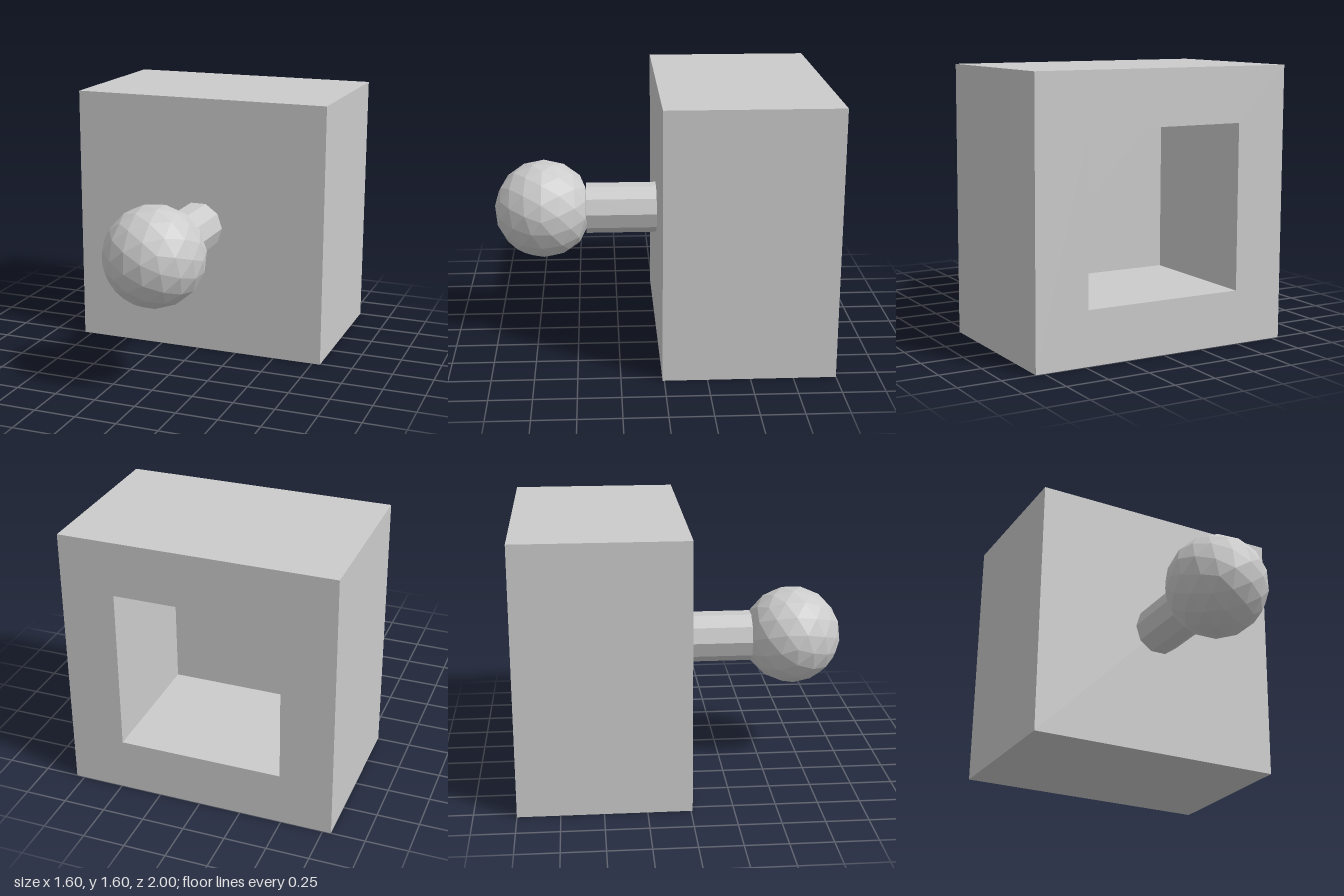
import * as THREE from 'three';

const grey = new THREE.MeshStandardMaterial({ color: 0xcccccc, flatShading: true });

const CAVITY_FLOOR = -0.19; // z of the recess end wall
const FRONT = 0.01; // z of the front face
const NECK = 0.44; // z where the ball meets the stem

function addPart(group, name, geometry, x, y, z) {
  const mesh = new THREE.Mesh(geometry, grey);
  mesh.name = name;
  mesh.position.set(x, y, z);
  group.add(mesh);
  return mesh;
}

// Axis-aligned rectangle traced onto a shape or path
function rectangle(path, x0, y0, x1, y1) {
  path.moveTo(x0, y0);
  path.lineTo(x1, y0);
  path.lineTo(x1, y1);
  path.lineTo(x0, y1);
  path.closePath();
  return path;
}

export function createModel() {
  const model = new THREE.Group();
  model.name = 'knobBlock';

  // Block walls around the square recess that opens to the back
  const outline = rectangle(new THREE.Shape(), -0.8, 0, 0.8, 1.6);
  outline.holes.push(rectangle(new THREE.Path(), -0.49, 0.315, 0.48, 1.28));
  const walls = new THREE.ExtrudeGeometry(outline, { depth: CAVITY_FLOOR + 1, bevelEnabled: false });
  addPart(model, 'blockWalls', walls, 0, 0, -1);

  // Solid front of the block
  const thickness = FRONT - CAVITY_FLOOR;
  addPart(model, 'blockFront', new THREE.BoxGeometry(1.6, 1.6, thickness), 0, 0.8, CAVITY_FLOOR + thickness / 2);

  // Ten-sided stem
  const stem = new THREE.CylinderGeometry(0.155, 0.155, NECK, 10);
  stem.rotateY(Math.PI / 2).rotateX(Math.PI / 2);
  addPart(model, 'stem', stem, 0, 0.8, NECK / 2);

  // Faceted ball, flattened where it meets the stem
  const ball = new THREE.IcosahedronGeometry(0.302, 2);
  ball.rotateX(0.35).rotateY(0.5).rotateZ(0.2);
  const p = ball.attributes.position;
  for (let i = 0; i < p.count; i++) p.setZ(i, Math.max(p.getZ(i), NECK - 0.7));
  ball.computeVertexNormals();
  addPart(model, 'ball', ball, 0, 0.8, 0.7);

  return model;
}
